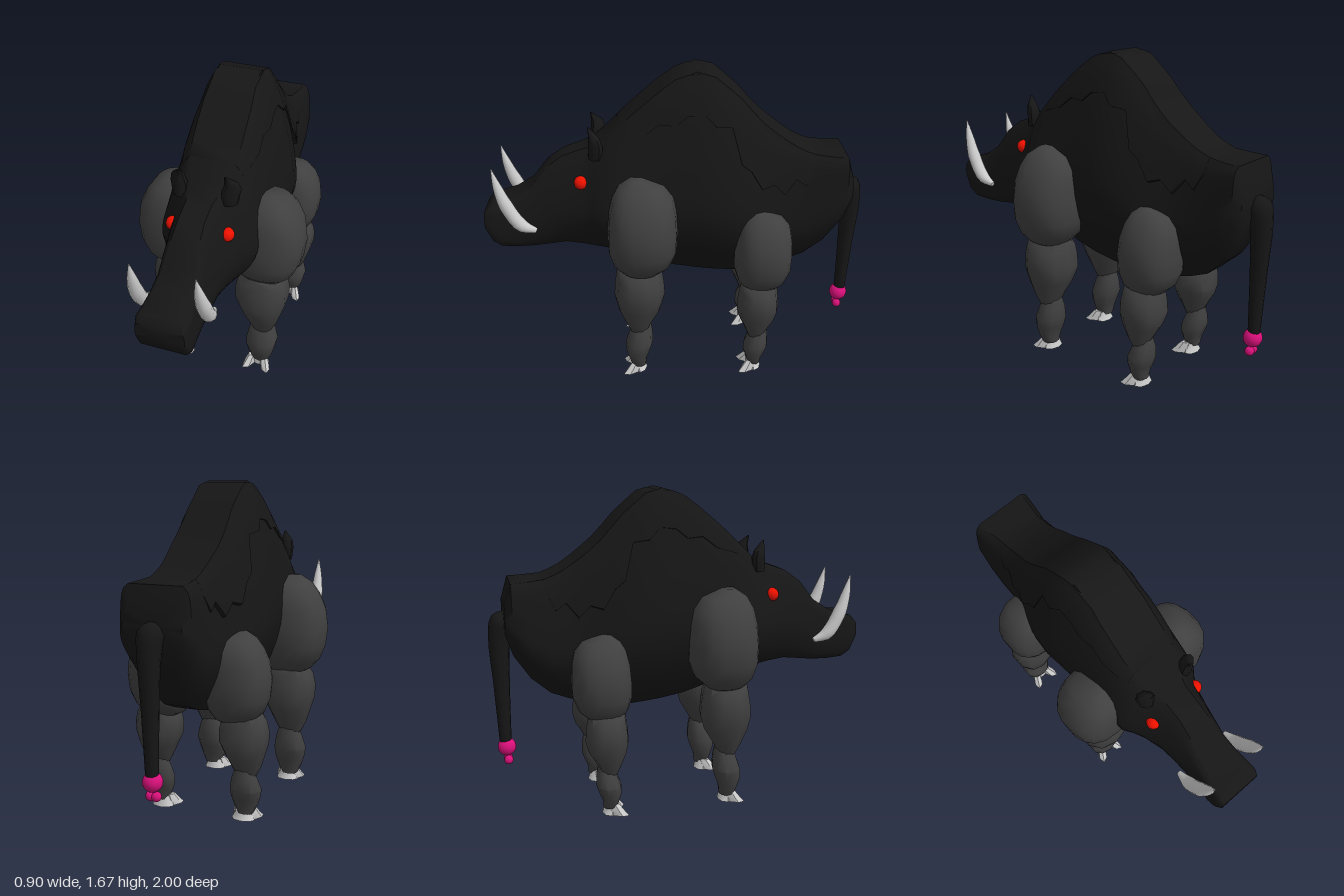
import * as THREE from 'three';
import { toCreasedNormals } from 'three/addons/utils/BufferGeometryUtils.js';

const hide = new THREE.MeshStandardMaterial({ color: 0x161616 });
const limb = new THREE.MeshStandardMaterial({ color: 0x404040 });
const ivory = new THREE.MeshStandardMaterial({ color: 0xcccccc });
const red = new THREE.MeshStandardMaterial({ color: 0xee1100 });
const pink = new THREE.MeshStandardMaterial({ color: 0xd8107a });

const V = (x, y, z) => new THREE.Vector3(x, y, z);

// Skin a list of closed rings (each counter-clockwise about the travel direction) and cap both ends.
function loft(rings, crease = 0.8) {
  const n = rings[0].length, pos = [], idx = [];
  rings.forEach(r => r.forEach(p => pos.push(p.x, p.y, p.z)));
  for (let i = 0; i < rings.length - 1; i++) {
    for (let j = 0; j < n; j++) {
      const a = i * n + j, b = i * n + (j + 1) % n;
      idx.push(a, b, a + n, b, b + n, a + n);
    }
  }
  [0, rings.length - 1].forEach((k, end) => {
    const c = rings[k].reduce((s, p) => s.add(p), V(0, 0, 0)).divideScalar(n);
    const ci = pos.length / 3;
    pos.push(c.x, c.y, c.z);
    for (let j = 0; j < n; j++) {
      const a = k * n + j, b = k * n + (j + 1) % n;
      if (end) idx.push(ci, a, b); else idx.push(ci, b, a);
    }
  });
  const g = new THREE.BufferGeometry();
  g.setAttribute('position', new THREE.Float32BufferAttribute(pos, 3));
  g.setIndex(idx);
  return toCreasedNormals(g, crease);
}

function add(parent, name, geometry, material, x = 0, y = 0, z = 0) {
  const m = new THREE.Mesh(geometry, material);
  m.name = name;
  m.position.set(x, y, z);
  parent.add(m);
  return m;
}

// Body stations: z, bottom, top, half width, top ratio, bottom ratio
const BODY = [
  [-0.92, 0.97, 1.12, 0.15, 0.9, 0.8], [-0.885, 0.86, 1.23, 0.182, 0.92, 0.6],
  [-0.8, 0.73, 1.235, 0.185, 0.85, 0.5], [-0.7, 0.64, 1.245, 0.185, 0.75, 0.4],
  [-0.6, 0.6, 1.29, 0.185, 0.65, 0.4], [-0.5, 0.575, 1.36, 0.2, 0.58, 0.4],
  [-0.42, 0.56, 1.43, 0.235, 0.52, 0.38], [-0.32, 0.55, 1.55, 0.262, 0.5, 0.36],
  [-0.2, 0.56, 1.65, 0.278, 0.48, 0.35], [-0.11, 0.57, 1.68, 0.272, 0.48, 0.35],
  [0, 0.59, 1.64, 0.262, 0.5, 0.38], [0.1, 0.62, 1.565, 0.258, 0.53, 0.4],
  [0.2, 0.66, 1.48, 0.257, 0.56, 0.45], [0.3, 0.7, 1.39, 0.255, 0.54, 0.5],
  [0.375, 0.72, 1.32, 0.25, 0.5, 0.5], [0.42, 0.725, 1.29, 0.215, 0.45, 0.55],
  [0.48, 0.735, 1.265, 0.185, 0.42, 0.6], [0.58, 0.745, 1.23, 0.155, 0.5, 0.65],
  [0.67, 0.735, 1.165, 0.14, 0.6, 0.75], [0.75, 0.725, 1.06, 0.13, 0.75, 0.8],
  [0.84, 0.725, 1.0, 0.128, 0.88, 0.88], [0.92, 0.735, 0.97, 0.134, 0.92, 0.94],
  [0.965, 0.765, 0.965, 0.134, 0.94, 0.94], [1.0, 0.835, 0.93, 0.122, 0.94, 0.94]
];

function station(z) {
  const i = Math.min(BODY.length - 2, Math.max(0, BODY.findIndex(r => r[0] >= z) - 1));
  const a = BODY[i], b = BODY[i + 1], k = (z - a[0]) / (b[0] - a[0]);
  return a.map((v, j) => v + (b[j] - v) * k);
}

// Half width at height fraction t, with rounded upper and lower corners
function halfWidth([, , , w, top, bot], t) {
  const corner = 1 - 0.18 * Math.pow(t, 18) - 0.12 * Math.pow(1 - t, 18);
  if (t < 0.4) return w * corner * (bot + (1 - bot) * Math.sin(t / 0.4 * Math.PI / 2));
  return w * corner * (1 - (1 - top) * Math.pow((t - 0.4) / 0.6, 1.5));
}

// Cross-section between heights t0 and 1, mirrored about x = 0
function section(s, t0 = 0, grow = 0) {
  const [z, lo, hi] = s, side = [], steps = 18;
  for (let i = 0; i <= steps; i++) {
    const t = t0 + (1 - t0) * i / steps;
    const tuck = t0 > 0 && i === 0 ? -0.03 : grow;
    side.push(V(halfWidth(s, t) + tuck, lo + (hi - lo) * t + (i === steps ? grow * 0.4 : 0), z));
  }
  return [...side, ...side.slice().reverse().map(p => V(-p.x, p.y, p.z))];
}

// Limb segment from rows of y, centre x, centre z, radius x, radius z
function limbShape(rows, sides = 14, power = 0.85) {
  const bend = v => Math.sign(v) * Math.pow(Math.abs(v), power);
  return loft(rows.map(([y, cx, cz, rx, rz]) => Array.from({ length: sides }, (_, j) => {
    const a = j / sides * Math.PI * 2;
    return V(cx + rx * bend(Math.sin(a)), y, cz + rz * bend(Math.cos(a)));
  })));
}

// Round tube with changing radius, along a path in the yz plane
function taperedTube(points, radii, steps = 14, sides = 12) {
  const curve = new THREE.CatmullRomCurve3(points);
  return loft(Array.from({ length: steps + 1 }, (_, i) => {
    const u = i / steps, c = curve.getPoint(u), t = curve.getTangent(u);
    const nrm = t.clone().cross(V(1, 0, 0));
    const f = u * (radii.length - 1), k = Math.min(radii.length - 2, Math.floor(f));
    const r = THREE.MathUtils.lerp(radii[k], radii[k + 1], f - k);
    return Array.from({ length: sides }, (_, j) => {
      const a = j / sides * Math.PI * 2;
      return c.clone().add(V(r * Math.cos(a), 0, 0)).addScaledVector(nrm, r * Math.sin(a));
    });
  }), 0.9);
}

// Cloven hoof: two splayed toes in front of a low heel pad
function hoof(parent) {
  const g = new THREE.Group();
  g.name = 'hoof';
  for (const s of [1, -1]) {
    const toe = limbShape([[0.012, 0, 0.03, 0.026, 0.055], [0.035, 0, 0.018, 0.026, 0.045],
      [0.072, 0, 0, 0.02, 0.03]], 6, 1);
    add(g, 'toe', toe, ivory, s * 0.032, 0, 0).rotation.y = s * 0.5;
  }
  add(g, 'heel', limbShape([[0.014, 0, -0.015, 0.062, 0.04], [0.04, 0, -0.01, 0.05, 0.035],
    [0.075, 0, -0.005, 0.045, 0.035]], 8, 1), ivory);
  parent.add(g);
  return g;
}

const UPPER_FRONT = [
  [0.64, 0.24, 0.18, 0.06, 0.06], [0.67, 0.24, 0.18, 0.12, 0.1], [0.72, 0.25, 0.175, 0.155, 0.15],
  [0.8, 0.25, 0.172, 0.188, 0.177], [0.9, 0.25, 0.17, 0.2, 0.178], [1.0, 0.25, 0.168, 0.187, 0.172],
  [1.08, 0.25, 0.167, 0.15, 0.155], [1.14, 0.25, 0.175, 0.105, 0.115], [1.18, 0.25, 0.2, 0.04, 0.03]
];
const MIDDLE = [
  [0.28, 0.245, 0.2, 0.05, 0.045], [0.35, 0.245, 0.2, 0.085, 0.075], [0.43, 0.24, 0.195, 0.115, 0.118],
  [0.5, 0.235, 0.193, 0.142, 0.135], [0.57, 0.235, 0.193, 0.145, 0.13], [0.63, 0.235, 0.193, 0.132, 0.122],
  [0.68, 0.25, 0.195, 0.08, 0.112], [0.72, 0.25, 0.195, 0.05, 0.06]
];
const LOWER = [
  [0.05, 0.24, 0.205, 0.045, 0.04], [0.1, 0.24, 0.21, 0.068, 0.05], [0.15, 0.24, 0.208, 0.082, 0.068],
  [0.2, 0.243, 0.2, 0.088, 0.075], [0.27, 0.24, 0.19, 0.072, 0.062], [0.33, 0.24, 0.185, 0.05, 0.045]
];

function leg(name, front) {
  const g = new THREE.Group();
  g.name = name;
  // hind segments reuse the front shapes, moved back and shortened
  const fit = (rows, y0, ky, dx, dz, kx, kz) => rows.map(([y, x, z, rx, rz]) =>
    [y0 + (y - rows[0][0]) * ky, x + dx, z + dz, rx * kx, rz * kz]);
  add(g, 'upperLeg', limbShape(front ? UPPER_FRONT
    : fit(UPPER_FRONT, 0.51, 0.85, -0.045, -0.63, 0.85, 0.84), 18, 0.8), limb);
  add(g, 'middleLeg', limbShape(front ? MIDDLE : fit(MIDDLE, 0.23, 0.84, 0, -0.635, 0.85, 0.83), 10), limb);
  add(g, 'lowerLeg', limbShape(front ? LOWER : fit(LOWER, 0.05, 0.83, 0, -0.64, 0.9, 0.87), 10), limb);
  hoof(g).position.set(0.228, 0, front ? 0.215 : -0.42);
  return g;
}

export function createModel() {
  const model = new THREE.Group();
  add(model, 'body', loft(BODY.map(s => section(s))), hide);

  // shaggy mantle over the hump, overhanging the rump: z, edge height, overhang
  const edge = [[-0.72, 1.18, 0], [-0.67, 1.08, 0.008], [-0.62, 1.12, 0.014], [-0.56, 1.04, 0.022],
    [-0.5, 1.1, 0.03], [-0.44, 1.08, 0.025], [-0.38, 1.18, 0.018], [-0.33, 1.22, 0.012],
    [-0.28, 1.41, 0.01], [-0.2, 1.42, 0.012], [-0.14, 1.48, 0.006], [-0.06, 1.47, 0.01],
    [0, 1.42, 0.006], [0.08, 1.43, 0.01], [0.16, 1.37, 0.006], [0.24, 1.35, 0.006], [0.3, 1.33, 0]];
  add(model, 'mantle', loft(edge.map(([z, y, grow]) => {
    const s = station(z);
    return section(s, (y - s[1]) / (s[2] - s[1]), grow);
  })), hide);

  // paired parts, built on +x and mirrored
  for (const s of [1, -1]) {
    const side = new THREE.Group();
    side.name = s > 0 ? 'leftSide' : 'rightSide';
    side.scale.x = s;
    side.add(leg('frontLeg', true), leg('hindLeg', false));
    add(side, 'eye', new THREE.SphereGeometry(0.036, 16, 12), red, 0.138, 1.112, 0.482);
    add(side, 'tusk', taperedTube([V(0.16, 0.85, 0.725), V(0.165, 0.885, 0.8), V(0.165, 1.0, 0.87),
      V(0.16, 1.1, 0.905), V(0.157, 1.2, 0.928)], [0.014, 0.036, 0.036, 0.024, 0.003]), ivory);
    const ear = add(side, 'ear', limbShape([[-0.04, 0, 0, 0.04, 0.035], [0.03, 0.008, 0, 0.048, 0.035],
      [0.07, 0.008, 0.005, 0.035, 0.028], [0.12, -0.025, 0.02, 0.004, 0.004]], 8, 1), hide, 0.125, 1.28, 0.405);
    ear.rotation.y = 0.5;
    add(side, 'tailBead', new THREE.SphereGeometry(0.024, 16, 12), pink, 0.015, 0.275, -0.93);
    model.add(side);
  }

  // tail and its ornament
  add(model, 'tail', taperedTube([V(0, 1.045, -0.88), V(0, 1.015, -0.925), V(0, 0.93, -0.945),
    V(0, 0.7, -0.945), V(0, 0.36, -0.94)], [0.03, 0.065, 0.055, 0.042, 0.03], 16), hide);
  add(model, 'tailBall', new THREE.SphereGeometry(0.048, 20, 14), pink, 0, 0.345, -0.935);
  return model;
}
